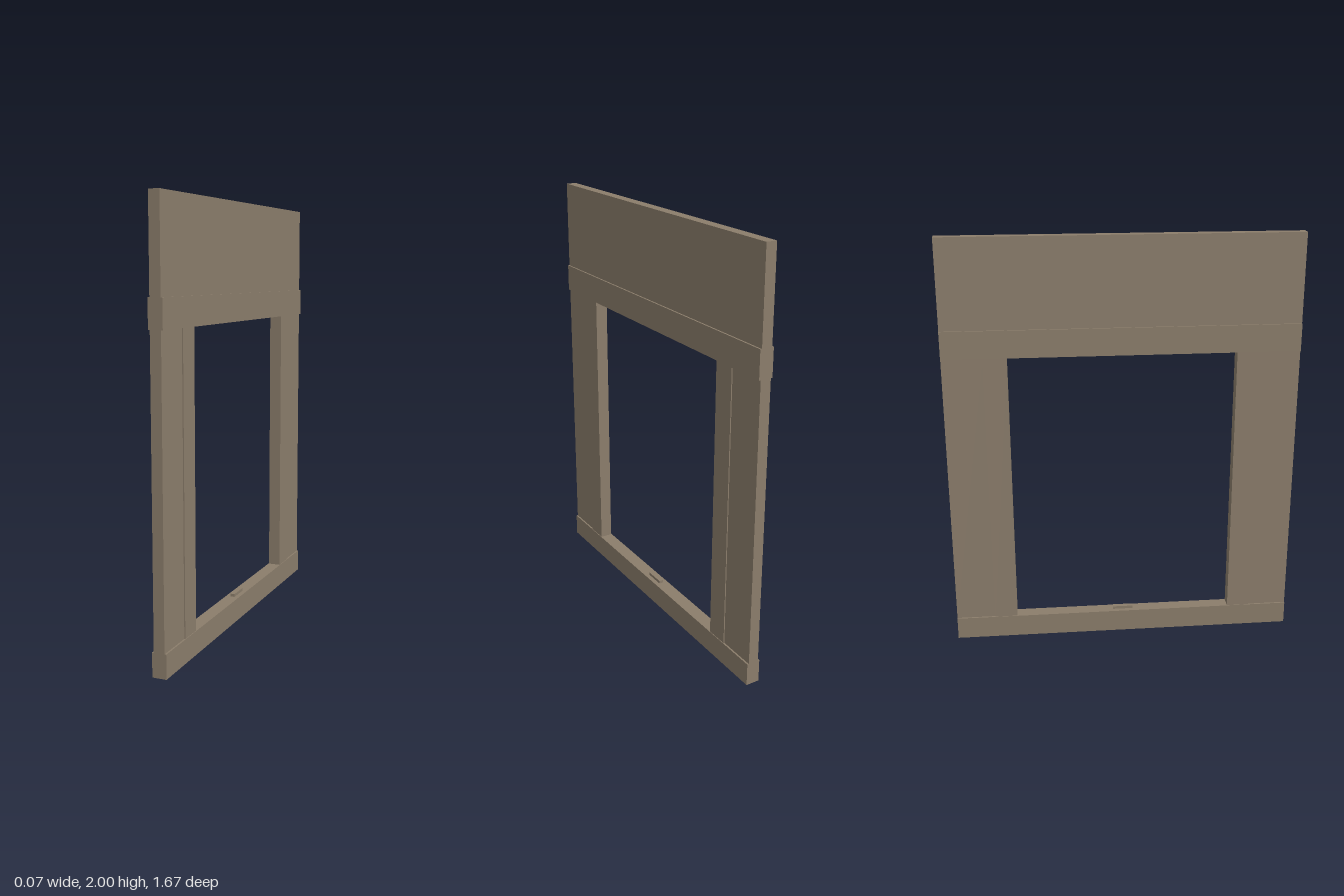
import * as THREE from 'three';

export function createModel() {
  const group = new THREE.Group();
  const frameColour = new THREE.MeshStandardMaterial({ color: 0x8b7d6b });
  frameColour.name = 'taupe';

  // Box given by thickness in x and its limits in y and z
  function slab(name, thickness, y0, y1, z0, z1) {
    const mesh = new THREE.Mesh(new THREE.BoxGeometry(thickness, y1 - y0, z1 - z0), frameColour);
    mesh.position.set(0, (y0 + y1) / 2, (z0 + z1) / 2);
    mesh.name = name;
    group.add(mesh);
  }

  const end = 0.835;

  // Horizontal members
  slab('bottomRail', 0.066, 0, 0.11, -end, end);
  slab('lintelRail', 0.066, 1.45, 1.58, -end, end);
  slab('topPanel', 0.05, 1.58, 2, -end, end);

  // Thin outer panels and thicker inner jambs on both sides of the opening
  for (const [side, outer, mid, inner] of [['front', end, 0.645, 0.535], ['back', -end, -0.645, -0.535]]) {
    slab(side + 'SidePanel', 0.05, 0.11, 1.45, Math.min(outer, mid), Math.max(outer, mid));
    slab(side + 'Jamb', 0.06, 0.11, 1.45, Math.min(mid, inner), Math.max(mid, inner));
  }

  // Small catch in the middle of the sill
  slab('sillCatch', 0.022, 0.11, 0.124, -0.05, 0.05);

  return group;
}
